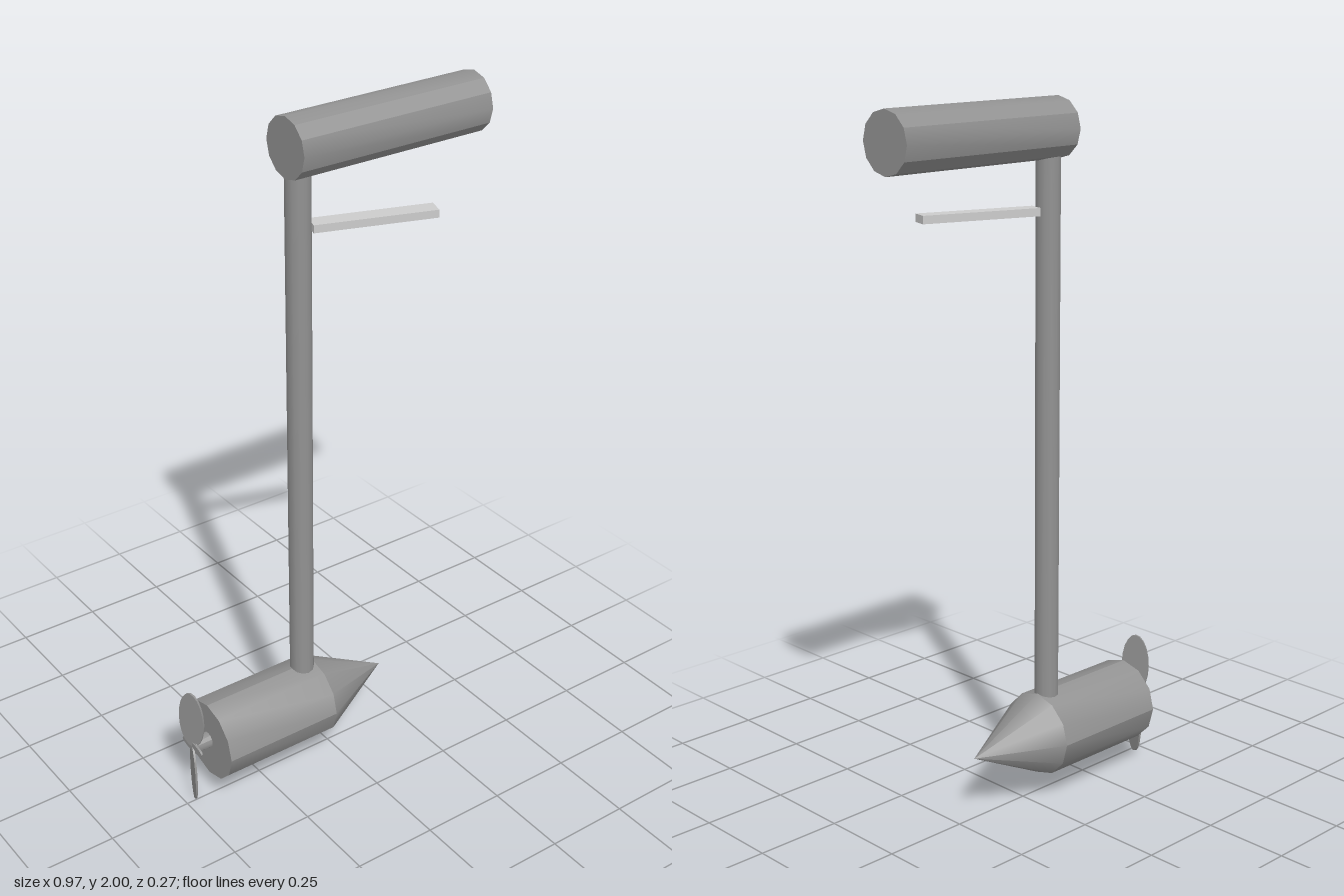
import * as THREE from 'three';
import { toCreasedNormals } from 'three/addons/utils/BufferGeometryUtils.js';

const darkGrey = new THREE.MeshStandardMaterial({ color: 0x929292 });
const lightGrey = new THREE.MeshStandardMaterial({ color: 0xcccccc });
const AXIS_Z = -0.012; // common centre plane of the pole, handle and motor
const MOTOR_Y = 0.189;

export function createModel() {
  const model = new THREE.Group();
  model.name = 'outboardMotor';

  function add(name, geometry, x, y, z = AXIS_Z, material = darkGrey) {
    const mesh = new THREE.Mesh(geometry, material);
    mesh.name = name;
    mesh.position.set(x, y, z);
    model.add(mesh);
    return mesh;
  }

  // Twelve-sided cylinder lying along x, from x0 to x1
  function rod(name, radius, x0, x1, y) {
    const g = new THREE.CylinderGeometry(radius, radius, x1 - x0, 12).rotateZ(-Math.PI / 2);
    return add(name, toCreasedNormals(g, Math.PI / 6), (x0 + x1) / 2, y);
  }

  // Thin elliptical disc facing x, with the given height and width
  function disc(height, width) {
    return new THREE.CylinderGeometry(0.5, 0.5, 0.006, 20)
      .rotateZ(Math.PI / 2)
      .scale(1, height, width);
  }

  // Upright pole and tiller handle
  add('pole', new THREE.CylinderGeometry(0.035, 0.035, 1.56, 12), -0.083, 1.07);
  rod('handle', 0.083, -0.12, 0.483, 1.917);

  // Control lever, swung toward the front
  const lever = add('lever', new THREE.BoxGeometry(0.34, 0.022, 0.05), 0.108, 1.698, 0.056, lightGrey);
  lever.rotation.y = -0.32;

  // Motor housing with nose cone, and the propeller shaft
  rod('motorHousing', 0.122, -0.413, -0.045, MOTOR_Y);
  const nose = new THREE.ConeGeometry(0.122, 0.247, 12, 1, true).rotateZ(-Math.PI / 2);
  add('noseCone', nose, 0.0785, MOTOR_Y);
  rod('propellerShaft', 0.023, -0.465, -0.41, MOTOR_Y);

  // Two blades pitched opposite ways, joined by a small hub plate
  for (const side of [1, -1]) {
    const blade = add('propellerBlade', disc(0.189, 0.085), -0.466, MOTOR_Y + side * 0.0945);
    blade.rotation.y = side * 0.38;
  }
  add('propellerHub', disc(0.03, 0.1), -0.466, MOTOR_Y);

  return model;
}
